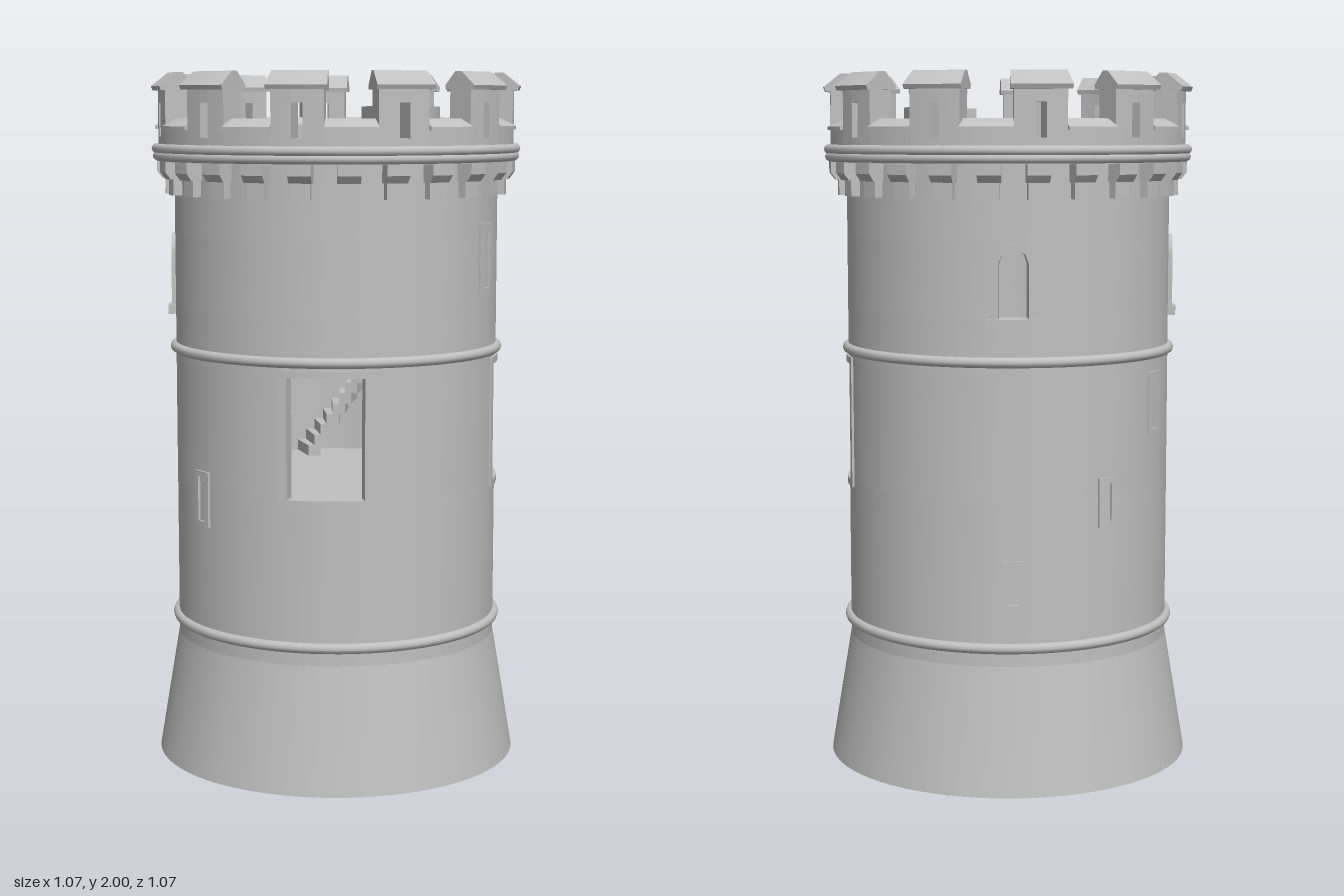
import * as THREE from 'three';
import { mergeGeometries, toCreasedNormals } from 'three/addons/utils/BufferGeometryUtils.js';

const RAD = Math.PI / 180;

// Sweeps a convex (radius, height) profile around the axis; angles in degrees from +z towards +x.
function sweep(a0, a1, profile, step = 5) {
  const n = Math.max(1, Math.ceil((a1 - a0) / step - 1e-6));
  const full = a1 - a0 >= 360;
  const rows = [];
  for (let i = 0; i <= n; i++) {
    const deg = a0 + (a1 - a0) * (full ? (i % n) : i) / n, a = deg * RAD;
    const pts = typeof profile === 'function' ? profile(deg) : profile;
    rows.push(pts.map(([r, y]) => [r * Math.sin(a), y, r * Math.cos(a)]));
  }
  const pos = [];
  const tri = (a, b, c) => pos.push(...a, ...b, ...c);
  const m = rows[0].length;
  for (let i = 0; i < n; i++) {
    for (let j = 0; j < m; j++) {
      const k = (j + 1) % m, p = rows[i], q = rows[i + 1];
      tri(p[j], q[j], q[k]);
      tri(p[j], q[k], p[k]);
    }
  }
  if (!full) {
    for (let k = 1; k < m - 1; k++) {
      tri(rows[0][0], rows[0][k], rows[0][k + 1]);
      tri(rows[n][0], rows[n][k + 1], rows[n][k]);
    }
  }
  const g = new THREE.BufferGeometry();
  g.setAttribute('position', new THREE.Float32BufferAttribute(pos, 3));
  return toCreasedNormals(g, 0.45);
}

// Curved block between two radii, two heights and two angles.
const block = (r0, r1, y0, y1, a0 = 0, a1 = 360) =>
  sweep(a0, a1, [[r0, y0], [r1, y0], [r1, y1], [r0, y1]]);

export function createModel() {
  const tower = new THREE.Group();
  tower.name = 'tower';
  const stone = new THREE.MeshStandardMaterial({ color: 0xc0c0c0 });
  stone.name = 'stone';
  const add = (name, ...geos) => {
    const mesh = new THREE.Mesh(geos.length > 1 ? mergeGeometries(geos) : geos[0], stone);
    mesh.name = name;
    tower.add(mesh);
  };

  const RI = 0.43, RO = 0.47;
  const WIN = 13.2;                 // half angle of the large windows
  const ARCH = 5, SPRING = 1.48;    // arched windows
  const archY = (t, half, rise) => SPRING + rise * Math.sqrt(Math.max(0, 1 - (t / half) ** 2));

  // Flared base, open below
  add('base', sweep(0, 360, [[0.525, 0], [0.53, 0], [RO, 0.36], [0.462, 0.36]]));

  // Wall in bands, leaving the window openings free
  add('wall',
    block(RI, RO, 0.36, 0.83),
    block(RI, RO, 0.83, 1.18, WIN, 90 - WIN),
    block(RI, RO, 0.83, 1.18, 90 + WIN, 360 - WIN),
    block(RI, RO, 1.18, 1.33),
    block(RI, RO, 1.33, 1.54, 180 + ARCH, 270 - ARCH),
    block(RI, RO, 1.33, 1.54, 270 + ARCH, 540 - ARCH),
    block(RI, RO, 1.54, 1.79));

  for (const c of [180, 270]) {
    add('archHead', sweep(c - ARCH, c + ARCH, (d) => {
      const y = archY(d - c, ARCH, 0.04);
      return [[RI, y], [RO, y], [RO, 1.54], [RI, 1.54]];
    }, 1));
    // Raised surround and sill
    const r = RO + 0.012, out = ARCH + 2;
    const top = (d) => archY(d - c, out, 0.058);
    const jamb = (d) => [[RI, 1.33], [r, 1.33], [r, top(d)], [RI, top(d)]];
    add('archFrame',
      sweep(c - out, c - ARCH, jamb, 0.25),
      sweep(c + ARCH, c + out, jamb, 0.25),
      sweep(c - ARCH, c + ARCH, (d) => {
        const y = archY(d - c, ARCH, 0.04);
        return [[RO - 0.01, y], [r, y], [r, top(d)], [RO - 0.01, top(d)]];
      }, 1));
    add('archSill', block(RI, RO + 0.022, 1.305, 1.332, c - 9, c + 9));
  }

  // Rectangular frame around an opening
  const frame = (name, c, half, y0, y1, w, h, r) => add(name,
    block(RO - 0.02, r, y0, y1, c - half, c - half + w),
    block(RO - 0.02, r, y0, y1, c + half - w, c + half),
    block(RO - 0.02, r, y0, y0 + h, c - half + w, c + half - w),
    block(RO - 0.02, r, y1 - h, y1, c - half + w, c + half - w));

  for (const c of [0, 90]) frame('windowFrame', c, 16, 0.81, 1.19, 2.8, 0.02, RO + 0.006);
  for (const [c, y0, y1, half] of [
    [67.5, 1.38, 1.58, 5.5], [-50, 0.72, 0.88, 4], [240, 0.98, 1.16, 4.5],
    [180, 0.52, 0.66, 3.5], [214, 0.74, 0.88, 3.5],
  ]) frame('slitFrame', c, half, y0, y1, half * 0.5, 0.016, RO + 0.007);

  // String courses
  const ring = (name, r, y, t) => {
    const g = new THREE.TorusGeometry(r, t, 10, 72);
    g.rotateX(Math.PI / 2).translate(0, y, 0);
    add(name, g);
  };
  ring('lowerRing', 0.472, 0.412, 0.015);
  ring('middleRing', 0.472, 1.212, 0.015);
  ring('upperRingLow', 0.518, 1.765, 0.014);
  ring('upperRingHigh', 0.521, 1.786, 0.014);
  add('corniceBand', block(RI, 0.518, 1.75, 1.8));

  // Corbels under the parapet
  const corbels = [];
  for (let i = 0; i < 24; i++) {
    const c = i * 15 + 7.5;
    corbels.push(
      block(0.46, 0.496, 1.655, 1.72, c - 3, c + 3),
      sweep(c - 3.6, c + 3.6, [[0.46, 1.70], [0.505, 1.70], [0.52, 1.72], [0.52, 1.755], [0.46, 1.755]]));
  }
  add('corbels', ...corbels);

  // Parapet: merlons with arrow slits, gabled caps and low sills between
  const merlons = [], caps = [], sills = [];
  const p0 = 0.44, p1 = 0.515, slit = 1.7, half = 8.2, pitch = 360 / 11;
  for (let i = 0; i < 11; i++) {
    const c = 90 + i * pitch;
    merlons.push(
      block(p0, p1, 1.79, 1.965, c - half, c - slit),
      block(p0, p1, 1.79, 1.965, c + slit, c + half),
      block(p0, p1, 1.79, 1.82, c - slit, c + slit),
      block(p0, p1, 1.915, 1.965, c - slit, c + slit));
    caps.push(sweep(c - 9.2, c + 9.2,
      [[0.43, 1.95], [0.53, 1.95], [0.535, 1.962], [0.487, 2], [0.465, 2], [0.428, 1.962]]));
    sills.push(
      block(p0, p1, 1.79, 1.845, c + half, c + pitch - half),
      sweep(c + half, c + pitch - half,
        [[0.432, 1.84], [0.525, 1.84], [0.525, 1.85], [0.48, 1.872], [0.432, 1.85]]));
  }
  add('merlons', ...merlons);
  add('merlonCaps', ...caps);
  add('crenelSills', ...sills);

  // Floors; the roof deck has an opening for the stair
  const s0 = 22, s1 = 114, sr = 0.302;
  add('lowerFloor', block(0, 0.44, 0.79, 0.825));
  add('middleFloor', block(0, 0.44, 1.185, 1.215));
  add('roofDeck', block(0, sr, 1.77, 1.8), block(sr, 0.445, 1.77, 1.8, s1, 360 + s0));

  // Low wall round the stair opening
  add('stairRail',
    block(0.284, sr, 1.79, 1.905, s0 - 4, 121),
    block(sr, RI, 1.79, 1.905, s0 - 4, s0));

  // Curved stairs, each step a wedge with a sloping underside depth
  const stair = (name, aLow, aHigh, yLow, yHigh, n) => {
    const steps = [], da = (aHigh - aLow) / n, dy = (yHigh - yLow) / n;
    for (let i = 0; i < n; i++) {
      const a = aLow + da * i, b = a + da, y = yLow + dy * (i + 1);
      steps.push(block(sr, 0.435, Math.max(yLow - 0.01, y - 2 * dy), y, Math.min(a, b), Math.max(a, b)));
    }
    add(name, ...steps);
  };
  stair('roofStair', s0, s1, 1.215, 1.79, 15);
  stair('backStair', 200, 160, 0.825, 1.185, 11);
  stair('sideStair', 296, 260, 0.825, 1.185, 11);

  return tower;
}
